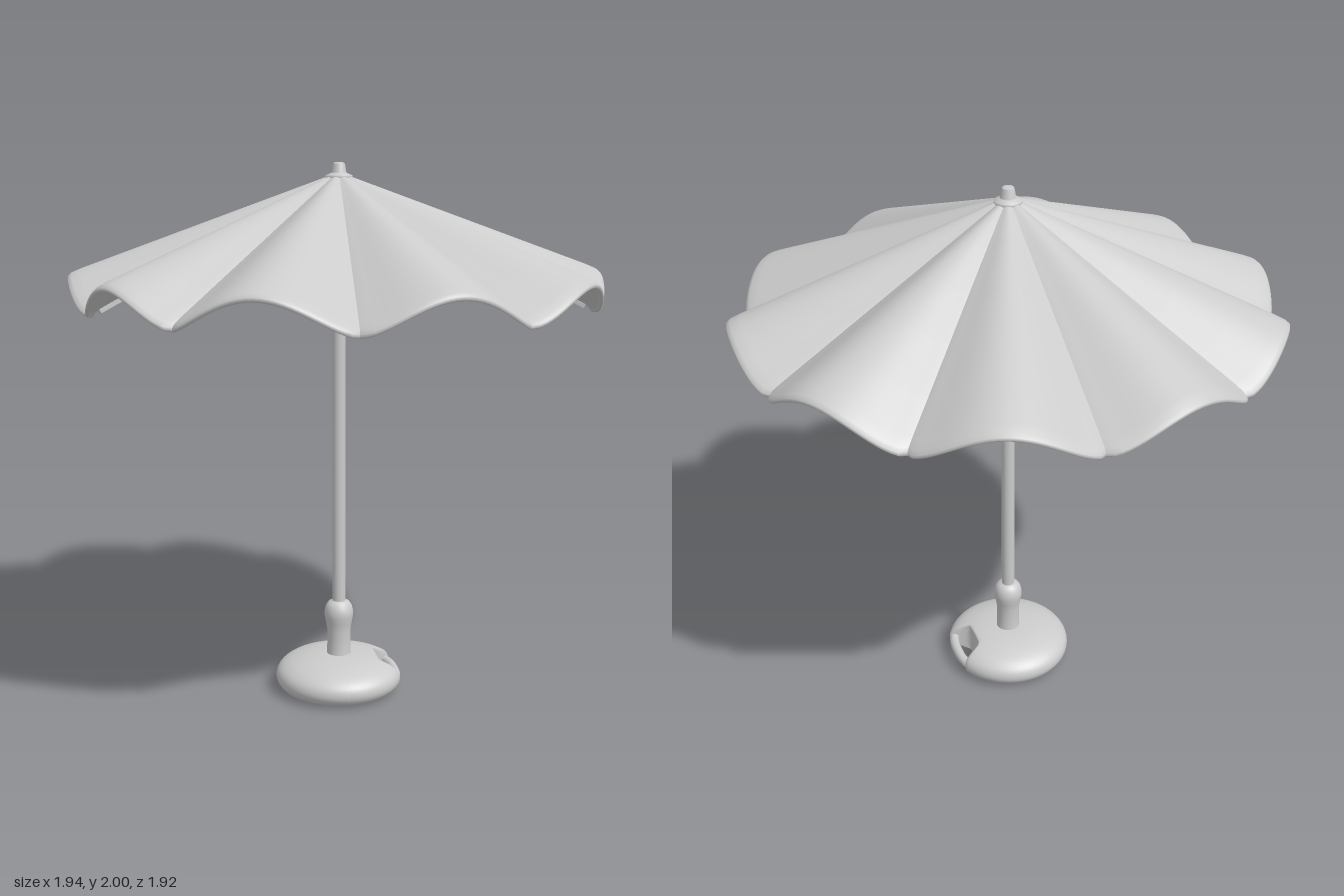
import * as THREE from 'three';

const material = new THREE.MeshStandardMaterial({ color: 0xcccccc, side: THREE.DoubleSide });
const rad = THREE.MathUtils.degToRad;
const lerp = THREE.MathUtils.lerp;

// Directions of the folds between panels, measured from +z towards +x
const foldAngles = [-6.3, 30.7, 67.6, 104.3, 141, 178, 215, 251, 283.5, 316, 353.7].map(rad);

// Panel section from hub to rim, around the hem and back: [radial fraction, drop]
const panelSection = [
  [0, 0], [0.2, 0], [0.4, 0], [0.6, 0], [0.8, 0], [0.95, 0], [0.985, -0.002], [0.998, -0.008],
  [1, -0.016], [0.994, -0.024], [0.984, -0.025], [0.975, -0.014], [0.8, -0.012], [0.4, -0.012], [0, -0.012],
];

function add(group, name, geometry) {
  const mesh = new THREE.Mesh(geometry, material);
  mesh.name = name;
  group.add(mesh);
  return mesh;
}

function lathe(points, segments = 48) {
  return new THREE.LatheGeometry(points.map(([r, y]) => new THREE.Vector2(r, y)), segments);
}

// One arched cloth panel between two neighbouring folds
function panelGeometry(start, end) {
  const columns = 28;
  const positions = [];
  const index = [];
  for (const [s, drop] of panelSection) {
    for (let j = 0; j <= columns; j++) {
      const t = j / columns;
      const wave = Math.max(0, Math.sin(Math.PI * t));
      const radius = lerp(0.03, 0.92 + 0.05 * Math.pow(wave, 0.5), s);
      const y = lerp(1.955, 1.505 + 0.11 * Math.pow(wave, 1.5), s) + drop;
      const angle = lerp(start, end, t);
      positions.push(radius * Math.sin(angle), y, radius * Math.cos(angle));
    }
  }
  const stride = columns + 1;
  for (let i = 0; i < panelSection.length - 1; i++) {
    for (let j = 0; j < columns; j++) {
      const a = i * stride + j;
      const b = a + stride;
      index.push(a, b, a + 1, a + 1, b, b + 1);
    }
  }
  const geometry = new THREE.BufferGeometry();
  geometry.setAttribute('position', new THREE.Float32BufferAttribute(positions, 3));
  geometry.setIndex(index);
  geometry.computeVertexNormals();
  return geometry;
}

// Flattened round foot with a hand notch cut into the +x side
function baseGeometry() {
  const profile = new THREE.SplineCurve([
    [0.19, 0.003], [0.225, 0.015], [0.243, 0.045], [0.235, 0.08], [0.2, 0.108], [0.14, 0.128], [0.08, 0.137], [0.03, 0.14],
  ].map(([r, y]) => new THREE.Vector2(r, y))).getPoints(28);
  const geometry = new THREE.LatheGeometry(
    [new THREE.Vector2(0, 0), new THREE.Vector2(0.1, 0), new THREE.Vector2(0.15, 0), ...profile], 128);
  const p = geometry.attributes.position;
  for (let i = 0; i < p.count; i++) {
    const depth = 1 - THREE.MathUtils.smoothstep(Math.abs(p.getZ(i)), 0.055, 0.115);
    const limit = lerp(0.25, 0.145, depth);
    if (p.getX(i) > limit) p.setX(i, limit);
  }
  geometry.computeVertexNormals();
  return geometry;
}

export function createModel() {
  const model = new THREE.Group();
  model.name = 'parasol';

  // Foot, carrying handle and pole socket
  add(model, 'base', baseGeometry());
  const handlePath = new THREE.CatmullRomCurve3([
    [0.165, -0.13], [0.2, -0.095], [0.214, -0.05], [0.217, 0], [0.214, 0.05], [0.2, 0.095], [0.165, 0.13],
  ].map(([x, z]) => new THREE.Vector3(x, 0.053, z)));
  add(model, 'carryHandle', new THREE.TubeGeometry(handlePath, 40, 0.019, 14));
  add(model, 'poleSocket', lathe([
    [0.052, 0.125], [0.046, 0.14], [0.045, 0.19], [0.045, 0.235], [0.05, 0.265], [0.055, 0.29],
    [0.055, 0.31], [0.05, 0.33], [0.04, 0.345], [0.024, 0.352],
  ]));

  // Pole
  const pole = add(model, 'pole', new THREE.CylinderGeometry(0.025, 0.025, 1.64, 32));
  pole.position.y = 1.12;

  // Canopy panels and the ribs beneath their folds
  const canopy = new THREE.Group();
  canopy.name = 'canopy';
  model.add(canopy);
  for (let i = 0; i < 10; i++) {
    add(canopy, 'panel', panelGeometry(foldAngles[i], foldAngles[i + 1]));
    const arm = new THREE.Group();
    arm.name = 'ribArm';
    arm.rotation.y = foldAngles[i];
    const rib = add(arm, 'rib', new THREE.BoxGeometry(0.03, 0.014, 0.93));
    rib.position.set(0, 1.715, 0.47);
    rib.rotation.x = Math.atan2(0.45, 0.89);
    canopy.add(arm);
  }

  // Hub and finial on top
  add(model, 'finial', lathe([
    [0, 1.91], [0.04, 1.915], [0.05, 1.945], [0.048, 1.955], [0.03, 1.962], [0.027, 1.965],
    [0.022, 1.994], [0.018, 2], [0, 2],
  ], 32));
  return model;
}
